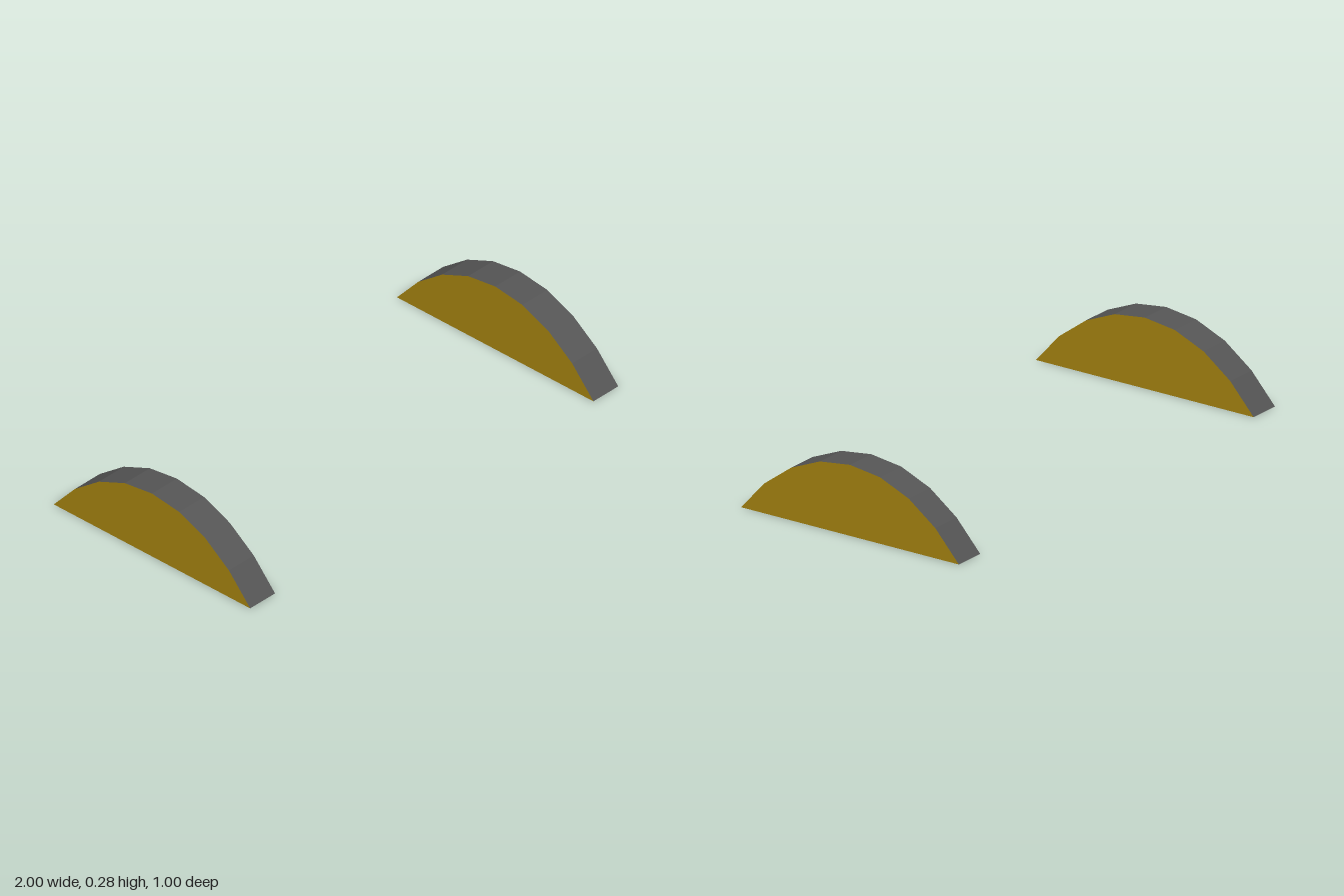
import * as THREE from 'three';
import { mergeGeometries } from 'three/addons/utils/BufferGeometryUtils.js';

const WIDTH = 0.135;

// Arch outline as (z, y), running from back to front
const half = [[0.5, 0], [0.392, 0.12], [0.27, 0.21], [0.138, 0.265]];
const profile = [
  ...half.map(([z, y]) => new THREE.Vector2(-z, y)),
  new THREE.Vector2(0, 0.283),
  ...half.map(([z, y]) => new THREE.Vector2(z, y)).reverse(),
];

// Curved band: a plane strip bent along the outline
function rimGeometry() {
  const geo = new THREE.PlaneGeometry(WIDTH, 1, 1, profile.length - 1);
  const pos = geo.attributes.position;
  for (let i = 0; i < pos.count; i++) {
    const p = profile[Math.floor(i / 2)];
    pos.setXYZ(i, pos.getX(i), p.y, p.x);
  }
  const flat = geo.toNonIndexed();
  flat.computeVertexNormals();
  return flat;
}

// Two flat cheeks and the underside
function bodyGeometry() {
  const shape = new THREE.Shape(profile);
  const cheeks = [1, -1].map((s) =>
    new THREE.ShapeGeometry(shape).rotateY(s * Math.PI / 2).translate(s * WIDTH / 2, 0, 0));
  const underside = new THREE.PlaneGeometry(WIDTH, 1).rotateX(Math.PI / 2);
  return mergeGeometries([...cheeks, underside]);
}

export function createModel() {
  const model = new THREE.Group();
  model.name = 'archPair';

  const gold = new THREE.MeshStandardMaterial({ color: 0xa07f0f });
  const darkGrey = new THREE.MeshStandardMaterial({ color: 0x555555, flatShading: true });
  const rimGeo = rimGeometry();
  const bodyGeo = bodyGeometry();

  // One arch on each side
  for (const [side, s] of [['left', 1], ['right', -1]]) {
    const arch = new THREE.Group();
    arch.name = side + 'Arch';
    const rim = new THREE.Mesh(rimGeo, darkGrey);
    rim.name = side + 'Rim';
    const body = new THREE.Mesh(bodyGeo, gold);
    body.name = side + 'Body';
    arch.add(rim, body);
    arch.position.x = s * (1 - WIDTH / 2);
    model.add(arch);
  }
  return model;
}
